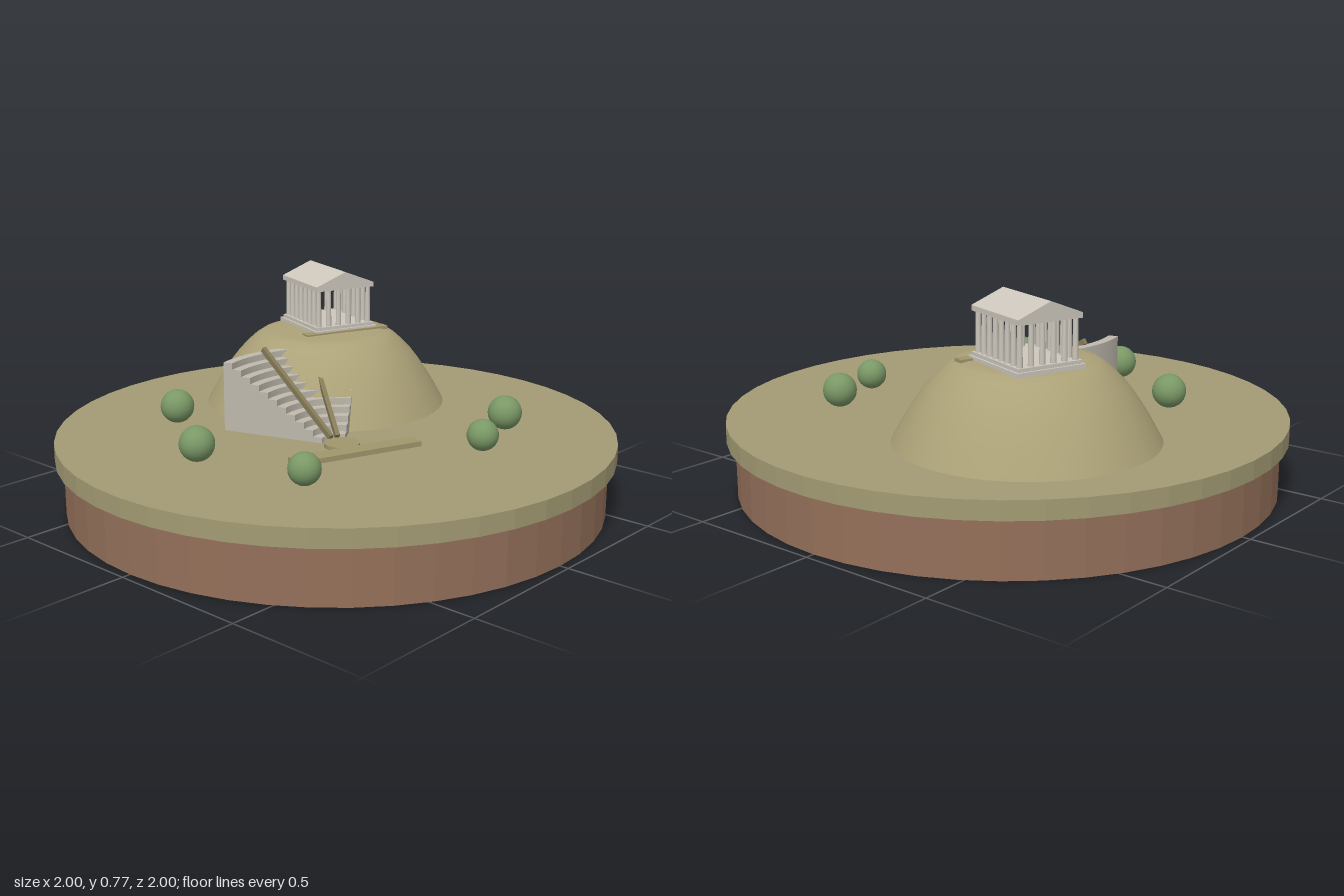
import * as THREE from 'three';

const mat = (name, color, flatShading = false) => {
  const m = new THREE.MeshStandardMaterial({ color, flatShading });
  m.name = name;
  return m;
};

export function createModel() {
  const earth = mat('earth', 0x94705a, true);
  const grass = mat('dry grass', 0xa39b74, true);
  const hillMat = mat('hill', 0xaca278);
  const path = mat('packed path', 0xa0966c);
  const stairMat = mat('stair', 0x857b58);
  const stone = mat('seat stone', 0xbfb9ad);
  const marble = mat('marble', 0xcdc7bc);
  const leaf = mat('foliage', 0x7a9866);

  const root = new THREE.Group();
  const add = (parent, name, geo, material, x = 0, y = 0, z = 0) => {
    const mesh = new THREE.Mesh(geo, material);
    mesh.name = name;
    mesh.position.set(x, y, z);
    parent.add(mesh);
    return mesh;
  };
  const group = (name, x, y, z, turn) => {
    const g = new THREE.Group();
    g.name = name;
    g.position.set(x, y, z);
    g.rotation.y = turn;
    root.add(g);
    return g;
  };
  const GROUND = 0.265, TURN = -0.34;

  // Round base
  add(root, 'earthBase', new THREE.CylinderGeometry(0.97, 0.97, 0.2, 48), earth, 0, 0.1, 0);
  add(root, 'groundDisc', new THREE.CylinderGeometry(1, 1, GROUND - 0.2, 48), grass, 0, (GROUND + 0.2) / 2, 0);

  // Hill with a flat top
  const profile = [[0.455, 0.262], [0.418, 0.33], [0.39, 0.375], [0.36, 0.42], [0.332, 0.456],
    [0.3, 0.49], [0.27, 0.517], [0.24, 0.536], [0.2, 0.542], [0, 0.545]];
  add(root, 'hill', new THREE.LatheGeometry(profile.map(([r, y]) => new THREE.Vector2(r, y)), 48),
    hillMat, 0.26, 0, -0.29);

  // Temple
  const temple = group('temple', 0.32, 0, -0.333, TURN);
  add(temple, 'lowerStep', new THREE.BoxGeometry(0.258, 0.016, 0.302), marble, 0, 0.547, 0);
  add(temple, 'upperStep', new THREE.BoxGeometry(0.242, 0.012, 0.286), marble, 0, 0.561, 0);
  const columnGeo = new THREE.CylinderGeometry(0.0085, 0.0105, 0.138, 10);
  const NX = 6, NZ = 8;
  for (let i = 0; i < NX; i++) {
    for (let j = 0; j < NZ; j++) {
      if (i > 0 && i < NX - 1 && j > 0 && j < NZ - 1) continue;
      add(temple, 'column', columnGeo, marble,
        (i / (NX - 1) - 0.5) * 0.21, 0.636, (j / (NZ - 1) - 0.5) * 0.252);
    }
  }
  const gable = new THREE.Shape([[-0.121, 0.704], [0.121, 0.704], [0.121, 0.722], [0, 0.77], [-0.121, 0.722]]
    .map(([x, y]) => new THREE.Vector2(x, y)));
  const roofGeo = new THREE.ExtrudeGeometry(gable, { depth: 0.286, bevelEnabled: false });
  add(temple, 'roof', roofGeo, marble, 0, 0, -0.143);

  // Terrace in front of the temple
  const terrace = group('terrace', 0.275, 0.54, -0.2, TURN);
  add(terrace, 'terraceSlab', new THREE.BoxGeometry(0.345, 0.018, 0.042), path);

  // Theatre: fan of rising rows cut into the hillside
  const theatre = group('theatre', -0.152, GROUND, 0.165, TURN);
  const ROWS = 11, R0 = 0.075, STEP = 0.035, HALF = 0.65;
  for (let i = 0; i < ROWS; i++) {
    const r = R0 + i * STEP;
    const shape = new THREE.Shape();
    shape.absarc(0, 0, r + STEP, Math.PI / 2 - HALF, Math.PI / 2 + HALF, false);
    shape.absarc(0, 0, r, Math.PI / 2 + HALF, Math.PI / 2 - HALF, true);
    const geo = new THREE.ExtrudeGeometry(shape, {
      depth: 0.02 + i * 0.023, bevelEnabled: false, curveSegments: 14 });
    add(theatre, 'seatRow', geo.rotateX(-Math.PI / 2), stone);
  }

  // Radial stairs lying on the rows
  for (const side of [-1, 1]) {
    const stairTurn = new THREE.Group();
    stairTurn.name = 'stair';
    stairTurn.rotation.y = side * 0.22;
    theatre.add(stairTurn);
    const ramp = add(stairTurn, 'stairRamp', new THREE.BoxGeometry(0.016, 0.02, 0.45), stairMat, 0, 0.141, -0.245);
    ramp.rotation.x = Math.atan(0.023 / STEP);
  }

  // Orchestra and stage
  add(theatre, 'orchestra', new THREE.CylinderGeometry(0.062, 0.062, 0.014, 32), path, 0, 0.007, 0);
  const stage = group('stage', -0.183, GROUND + 0.009, 0.257, TURN);
  add(stage, 'stageSlab', new THREE.BoxGeometry(0.483, 0.018, 0.066), path);

  // Round bushes
  const bushes = [[-0.35, -0.46, 0.061], [-0.605, -0.075, 0.061], [-0.54, 0.355, 0.055],
    [0.125, 0.56, 0.055], [0.38, 0.47, 0.061]];
  for (const [x, z, r] of bushes) {
    add(root, 'bush', new THREE.SphereGeometry(r, 20, 14), leaf, x, 0.27 + r, z);
  }
  return root;
}
